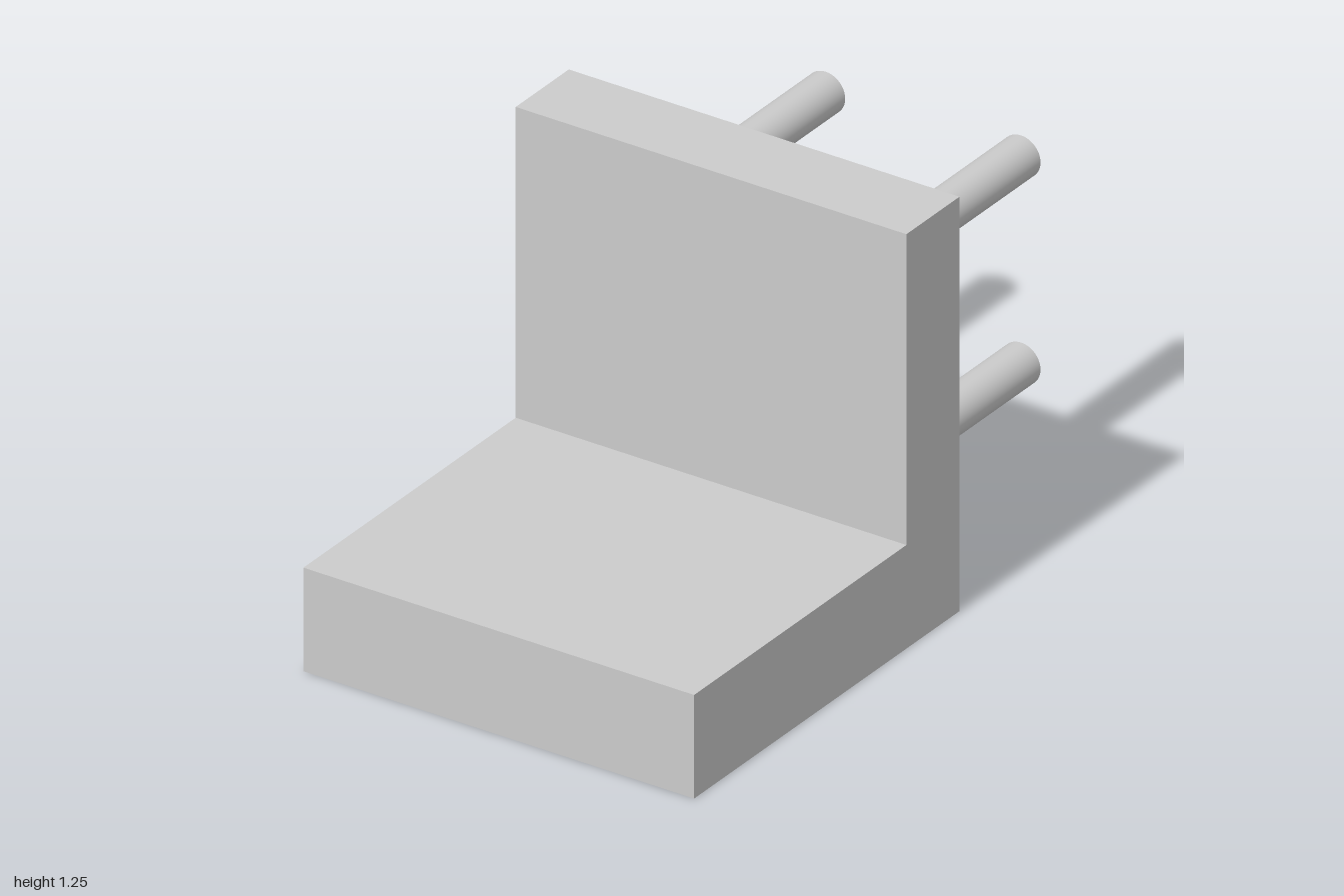
import * as THREE from 'three';

export function createModel() {
  const model = new THREE.Group();
  const material = new THREE.MeshStandardMaterial({ color: 0xcccccc });
  const width = 1.25;

  // L-shaped bracket: side profile (horizontal axis runs toward the back), extruded across the width
  const profile = new THREE.Shape([
    [-1, 0], [0.25, 0], [0.25, 1.25], [0, 1.25], [0, 0.3125], [-1, 0.3125],
  ].map(([x, y]) => new THREE.Vector2(x, y)));
  const bracketGeometry = new THREE.ExtrudeGeometry(profile, { depth: width, bevelEnabled: false });
  bracketGeometry.translate(0, 0, -width / 2).rotateY(Math.PI / 2);
  const bracket = new THREE.Mesh(bracketGeometry, material);
  bracket.name = 'bracket';
  model.add(bracket);

  // Four round pegs projecting from the back of the upright
  const pegLength = 0.75;
  const pegGeometry = new THREE.CylinderGeometry(0.0625, 0.0625, pegLength, 48).rotateX(-Math.PI / 2);
  for (const [level, y] of [['lower', 0.3125], ['upper', 0.9375]]) {
    for (const [side, x] of [['Left', 0.3125], ['Right', -0.3125]]) {
      const peg = new THREE.Mesh(pegGeometry, material);
      peg.name = `${level}${side}Peg`;
      peg.position.set(x, y, -0.25 - pegLength / 2);
      model.add(peg);
    }
  }
  return model;
}
